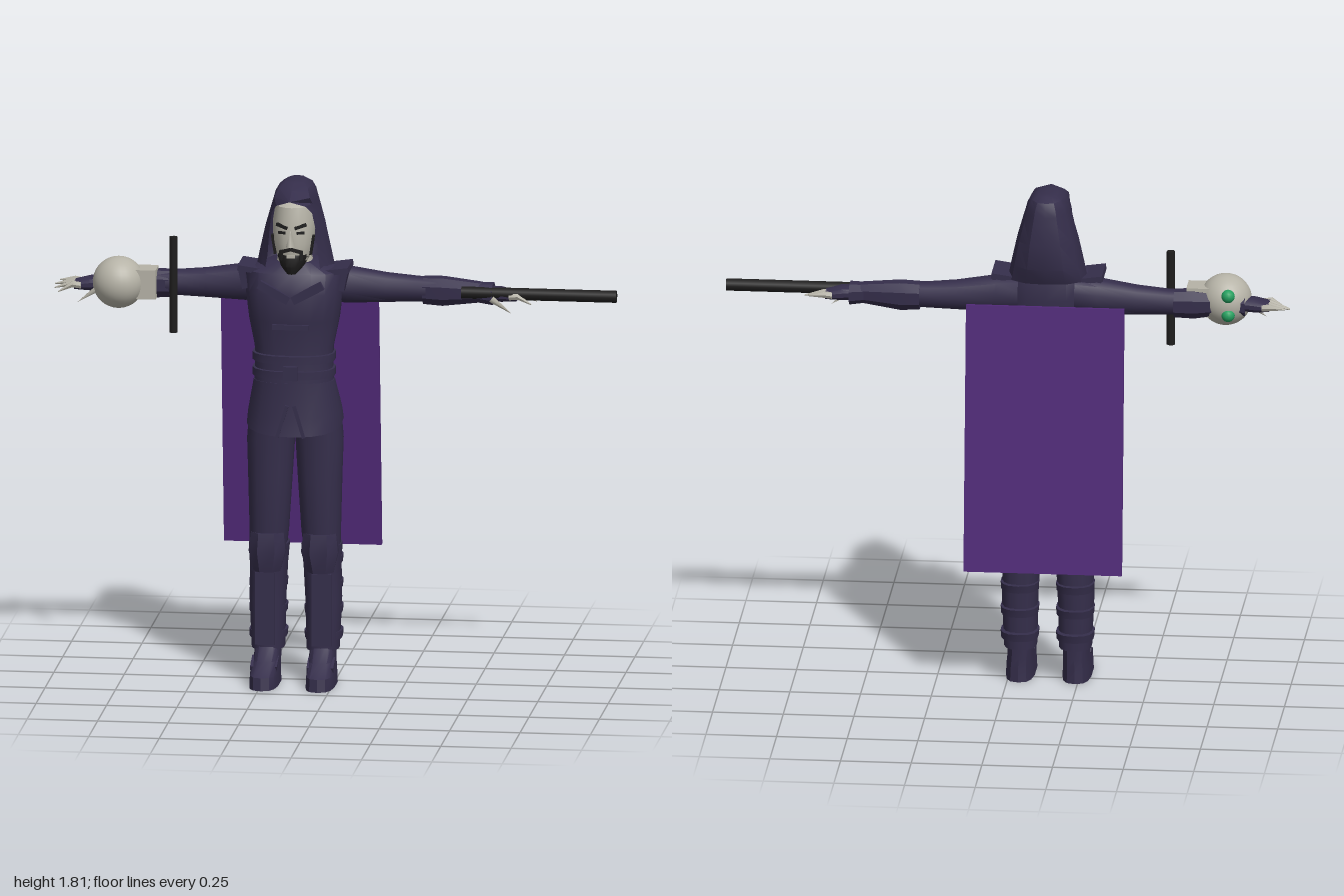
import * as THREE from 'three';
import { toCreasedNormals } from 'three/addons/utils/BufferGeometryUtils.js';

const CX = -0.14; // body centre line

function material(name, color, double = false) {
  const m = new THREE.MeshStandardMaterial({ color });
  m.name = name;
  if (double) m.side = THREE.DoubleSide;
  return m;
}

// Closed skin over rings [y, cx, cz, rx, rz, tilt], listed from low to high
function loft(rings, sides = 14, power = 2.4) {
  const pos = [], idx = [], n = rings.length;
  const sup = v => Math.sign(v) * Math.pow(Math.abs(v), 2 / power);
  for (const [y, cx, cz, rx, rz, tilt = 0] of rings) {
    for (let j = 0; j < sides; j++) {
      const a = ((j + 0.5) / sides) * Math.PI * 2;
      const z = cz + rz * sup(Math.sin(a));
      pos.push(cx + rx * sup(Math.cos(a)), y + tilt * z, z);
    }
  }
  for (let i = 0; i < n - 1; i++) {
    for (let j = 0; j < sides; j++) {
      const k = (j + 1) % sides, a = i * sides + j, b = i * sides + k;
      idx.push(a, a + sides, b, b, a + sides, b + sides);
    }
  }
  const bottom = pos.length / 3, top = bottom + 1, last = (n - 1) * sides;
  pos.push(rings[0][1], rings[0][0], rings[0][2], rings[n - 1][1], rings[n - 1][0], rings[n - 1][2]);
  for (let j = 0; j < sides; j++) {
    const k = (j + 1) % sides;
    idx.push(bottom, j, k, top, last + k, last + j);
  }
  return surface(pos, idx);
}

function surface(pos, idx) {
  const g = new THREE.BufferGeometry();
  g.setAttribute('position', new THREE.Float32BufferAttribute(pos, 3));
  g.setIndex(idx);
  return toCreasedNormals(g, 0.6);
}

// Hood sheet from rows [y, side half width, back z, front z, front half width]
function hoodGeometry(rows) {
  const pos = [], idx = [], count = 11;
  for (const [y, w, zb, zf, fw] of rows) {
    const half = [[fw, zf], [Math.max(fw, w * 0.88), zf * 0.6], [w, 0], [w * 0.88, zb * 0.6], [w * 0.5, zb * 0.93], [0, zb]];
    for (let j = 0; j < count; j++) {
      const [x, z] = half[j < 6 ? j : 10 - j];
      pos.push(j < 6 ? x : -x, y, z);
    }
  }
  for (let i = 0; i < rows.length - 1; i++) {
    for (let j = 0; j < count - 1; j++) {
      const a = i * count + j, b = a + count;
      idx.push(a, a + 1, b, a + 1, b + 1, b);
    }
  }
  return surface(pos, idx);
}

export function createModel() {
  const model = new THREE.Group();
  model.name = 'hoodedFigure';
  const cloth = material('dark violet cloth', 0x352e4b, true);
  const purple = material('purple cape', 0x522a7a);
  const bone = material('pale grey skin', 0xb6b3a7);
  const black = material('black', 0x1e1d1d);
  const green = material('green', 0x25a060);

  function add(name, geometry, mat, x = 0, y = 0, z = 0, rx = 0, ry = 0, rz = 0, parent = model) {
    const mesh = new THREE.Mesh(geometry, mat);
    mesh.name = name;
    mesh.position.set(x, y, z);
    mesh.rotation.set(rx, ry, rz);
    parent.add(mesh);
    return mesh;
  }
  const box = (w, h, d) => new THREE.BoxGeometry(w, h, d);

  const body = new THREE.Group();
  body.name = 'body';
  body.position.x = CX;
  model.add(body);
  const part = (name, geo, mat, x, y, z, rx, ry, rz) => add(name, geo, mat, x, y, z, rx, ry, rz, body);

  // Tunic with flared skirt
  part('tunic', loft([
    [1.04, 0, 0.045, 0.145, 0.105], [1.13, 0, 0.05, 0.138, 0.1], [1.22, 0, 0.045, 0.14, 0.095],
    [1.32, 0, 0.04, 0.16, 0.115], [1.42, 0, 0.04, 0.172, 0.12], [1.49, 0, 0.03, 0.172, 0.105],
    [1.525, 0, 0.02, 0.09, 0.085],
  ], 18), cloth);
  part('skirt', loft([
    [0.945, 0, 0.02, 0.17, 0.15, -0.2], [0.99, 0, 0.025, 0.165, 0.135, -0.1], [1.1, 0, 0.048, 0.143, 0.104],
  ], 18), cloth);
  for (const y of [1.13, 1.185]) {
    part('belt', loft([[y - 0.014, 0, 0.05, 0.147, 0.113], [y + 0.014, 0, 0.05, 0.147, 0.113]], 18), cloth);
  }
  part('beltBuckle', box(0.05, 0.05, 0.02), cloth, 0, 1.14, 0.163);
  part('chestStrap', box(0.13, 0.018, 0.02), cloth, 0, 1.305, 0.152);
  for (const s of [-1, 1]) {
    part('skirtFlap', box(0.012, 0.12, 0.012), cloth, s * 0.03, 0.965, 0.16, 0, 0, s * 0.3);
    part('lapel', box(0.12, 0.03, 0.02), cloth, s * 0.06, 1.43, 0.155, 0, 0, s * 0.5);
  }

  // Head, face and beard
  part('neck', loft([[1.47, 0, 0.03, 0.075, 0.08], [1.56, 0, 0.03, 0.055, 0.06]]), bone);
  part('head', loft([
    [1.5, 0, 0.085, 0.035, 0.045], [1.54, 0, 0.065, 0.055, 0.08], [1.6, 0, 0.055, 0.072, 0.092],
    [1.67, 0, 0.05, 0.075, 0.095], [1.73, 0, 0.045, 0.066, 0.085], [1.765, 0, 0.03, 0.035, 0.05],
  ], 18, 2.1), bone);
  part('nose', new THREE.ConeGeometry(0.017, 0.065, 4), bone, 0, 1.625, 0.148, -0.15, 0, 0);
  part('beard', loft([
    [1.492, 0, 0.1, 0.022, 0.04], [1.52, 0, 0.085, 0.044, 0.067], [1.55, 0, 0.072, 0.056, 0.079], [1.562, 0, 0.07, 0.058, 0.077],
  ], 18, 2.1), black);
  part('lips', box(0.03, 0.009, 0.008), bone, 0, 1.558, 0.15);
  for (const s of [-1, 1]) {
    part('moustache', box(0.036, 0.012, 0.012), black, s * 0.017, 1.58, 0.146, 0, s * 0.2, -s * 0.3);
    part('moustacheEnd', box(0.01, 0.035, 0.012), black, s * 0.035, 1.562, 0.138, 0, s * 0.4, 0);
    part('eyebrow', box(0.044, 0.011, 0.009), black, s * 0.033, 1.666, 0.137, 0, s * 0.35, s * 0.28);
    part('eye', box(0.028, 0.009, 0.008), black, s * 0.033, 1.643, 0.138, 0, s * 0.35, 0);
    part('sideburn', box(0.008, 0.07, 0.025), black, s * 0.068, 1.59, 0.085, 0, 0, -s * 0.15);
  }

  // Hood: open below the peak, closed over the crown
  part('hood', hoodGeometry([
    [1.49, 0.14, -0.1, 0.1, 0.1], [1.55, 0.128, -0.128, 0.088, 0.09], [1.64, 0.108, -0.13, 0.095, 0.083],
    [1.71, 0.088, -0.122, 0.118, 0.072], [1.74, 0.079, -0.116, 0.145, 0.052], [1.765, 0.072, -0.112, 0.19, 0],
    [1.79, 0.058, -0.1, 0.125, 0], [1.805, 0.035, -0.07, 0.06, 0], [1.808, 0, -0.05, 0.04, 0],
  ]), cloth);

  for (const s of [-1, 1]) {
    // Legs, boots and straps
    const ring = (y, dx, cz, rx, rz) => [y, s * dx, cz, rx, rz];
    part('trouserLeg', loft([
      ring(0.4, 0.1, 0.015, 0.06, 0.07), ring(0.55, 0.092, 0.02, 0.069, 0.08), ring(0.75, 0.088, 0.02, 0.078, 0.088),
      ring(0.88, 0.086, 0.017, 0.084, 0.094), ring(1.02, 0.078, 0.02, 0.08, 0.1),
    ]), cloth);
    part('boot', loft([
      ring(0.12, 0.097, 0.005, 0.058, 0.074), ring(0.3, 0.099, 0.003, 0.064, 0.079),
      ring(0.42, 0.095, 0.005, 0.066, 0.081), ring(0.5, 0.093, 0.01, 0.072, 0.085),
    ]), cloth);
    part('kneePad', loft([
      ring(0.405, 0.095, 0.045, 0.05, 0.06), ring(0.48, 0.093, 0.048, 0.07, 0.072), ring(0.545, 0.093, 0.04, 0.062, 0.07),
    ], 8), cloth);
    part('shinGuard', box(0.07, 0.26, 0.02), cloth, s * 0.1, 0.27, 0.077);
    for (const y of [0.17, 0.26, 0.35, 0.44]) {
      part('bootStrap', loft([ring(y - 0.014, 0.098, -0.01, 0.066, 0.08), ring(y + 0.014, 0.098, -0.012, 0.068, 0.084)]), cloth);
    }
    part('foot', loft([
      ring(0, 0.1, 0.07, 0.052, 0.14), ring(0.045, 0.1, 0.068, 0.05, 0.135),
      ring(0.085, 0.098, 0.03, 0.046, 0.095), ring(0.15, 0.097, -0.003, 0.044, 0.062),
    ], 14, 2.8), cloth);
    part('ankleStrap', box(0.095, 0.02, 0.07), cloth, s * 0.1, 0.075, 0.09, 0.4, 0, 0);

    // Arms: rings [distance, height, z, ry, rz] turned out sideways
    const limb = (name, rings, mat, sides = 12, power = 2.2) => part(name,
      loft(rings.map(([d, y, z, ry, rz]) => [d, -s * y, z, ry, rz]), sides, power).rotateZ(-s * Math.PI / 2), mat);
    limb('sleeve', [
      [0.1, 1.435, -0.02, 0.065, 0.07], [0.18, 1.428, -0.022, 0.066, 0.062], [0.32, 1.42, -0.025, 0.052, 0.053],
      [0.43, 1.417, -0.027, 0.045, 0.048], [0.56, 1.415, -0.02, 0.041, 0.045], [0.68, 1.415, -0.012, 0.031, 0.036],
    ], cloth);
    limb('bracer', [
      [0.45, 1.413, -0.028, 0.05, 0.051], [0.52, 1.412, -0.024, 0.053, 0.053], [0.66, 1.414, -0.014, 0.036, 0.042],
    ], cloth, 8);
    limb('gauntletCuff', [[0.63, 1.414, -0.014, 0.034, 0.042], [0.7, 1.41, -0.012, 0.04, 0.052]], cloth, 8);
    limb('hand', [[0.67, 1.412, -0.01, 0.026, 0.034], [0.73, 1.41, -0.008, 0.026, 0.046], [0.785, 1.405, -0.008, 0.017, 0.044]], cloth);
    for (let i = 0; i < 4; i++) {
      const z = -0.045 + i * 0.025, len = 0.105 - Math.abs(i - 1.4) * 0.015;
      limb('finger', [[0.76, 1.408, z, 0.012, 0.011], [0.79, 1.412, z * 1.1, 0.012, 0.01], [0.76 + len, 1.408 - i * 0.008, z * 1.2, 0.002, 0.002]], bone, 6);
    }
    part('thumb', new THREE.ConeGeometry(0.013, 0.09, 6), bone, s * 0.735, 1.375, 0.038, 0, 0, s * (Math.PI + 0.95));
    // Shoulder flap
    part('shoulderFlap', box(0.09, 0.02, 0.15), cloth, s * 0.152, 1.495, 0.02, 0, 0, s * 0.14);
    part('shoulderGuard', box(0.02, 0.075, 0.14), cloth, s * 0.178, 1.463, 0.02, 0, 0, -s * 0.2);
  }

  // Cape: flat panel leaning backwards
  add('cape', box(0.56, 0.963, 0.018), purple, CX, 0.93, -0.152, 0.098, 0, 0);

  // Rod in the left hand
  add('rod', new THREE.CylinderGeometry(0.022, 0.022, 0.55, 12), black, 0.725, 1.417, 0.016, 0, 0, Math.PI / 2);

  // Skull and crossbar on the right hand
  add('skull', new THREE.SphereGeometry(0.092, 28, 20), bone, -0.768, 1.42, 0.012);
  add('skullJaw', box(0.1, 0.105, 0.092), bone, -0.683, 1.42, 0.004);
  for (const dy of [-0.035, 0.035]) {
    add('skullEye', new THREE.SphereGeometry(0.024, 14, 10), green, -0.783, 1.42 + dy, -0.066);
  }
  add('crossbar', new THREE.CylinderGeometry(0.015, 0.015, 0.345, 10), black, -0.573, 1.417, 0.016);

  return model;
}
